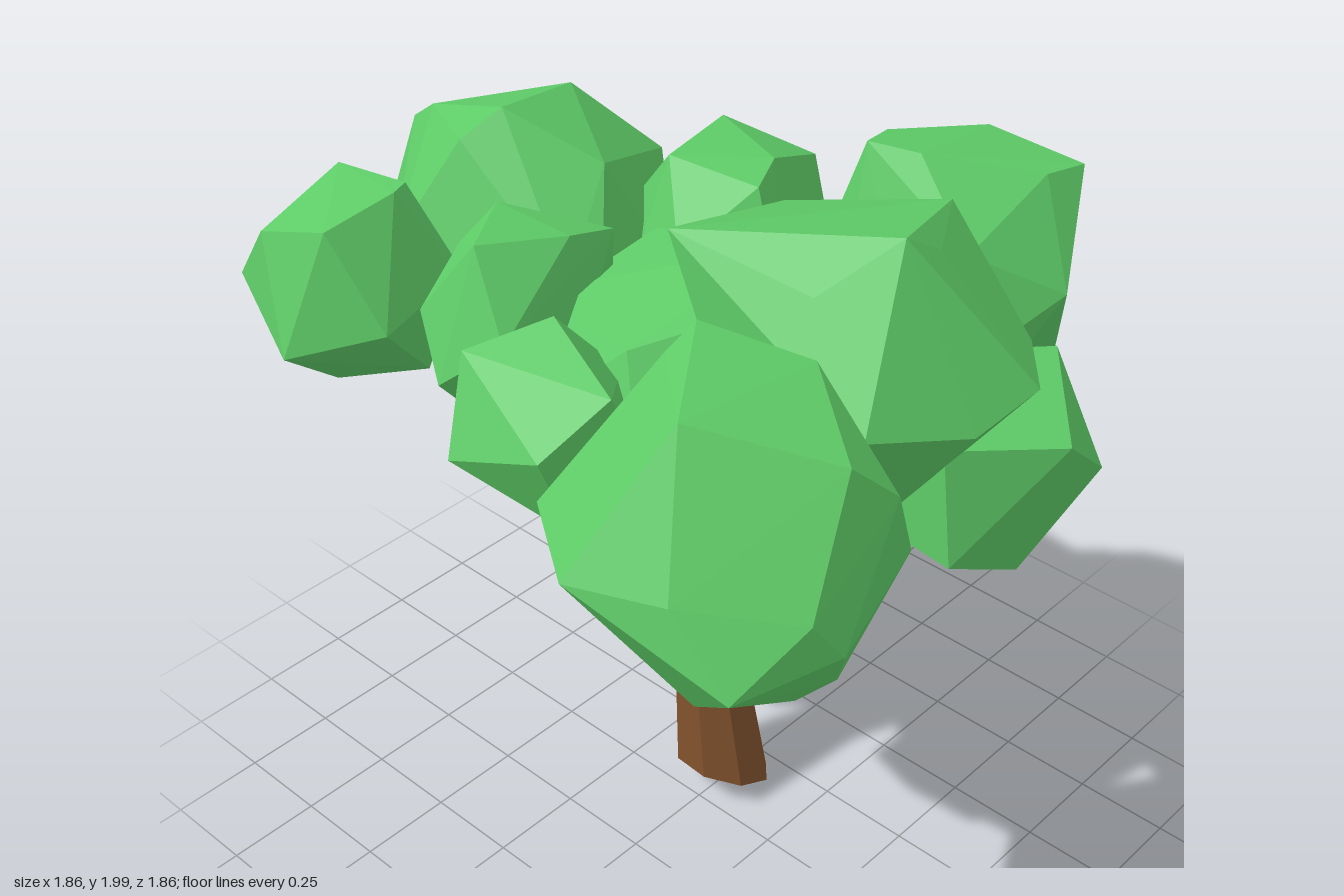
import * as THREE from 'three';
import { ConvexGeometry } from 'three/addons/geometries/ConvexGeometry.js';

const V = (x, y, z) => new THREE.Vector3(x, y, z);

// Tapered limb swept along points [x, y, z, radius], closed at both ends
function limbGeometry(path, sides, startNormal) {
  const pts = path.map((p) => V(p[0], p[1], p[2]));
  const last = pts.length - 1;
  const pos = [], idx = [];
  let u = V(0.3, 0.1, 1);
  pts.forEach((p, i) => {
    let t = pts[Math.min(i + 1, last)].clone().sub(pts[Math.max(i - 1, 0)]).normalize();
    if (i === 0 && startNormal) t = startNormal.clone().normalize();
    u = u.clone().addScaledVector(t, -u.dot(t)).normalize();
    const v = t.clone().cross(u);
    for (let j = 0; j < sides; j++) {
      const a = (j / sides) * Math.PI * 2, r = path[i][3];
      const q = p.clone().addScaledVector(u, r * Math.cos(a)).addScaledVector(v, r * Math.sin(a));
      pos.push(q.x, q.y, q.z);
    }
  });
  const start = pos.length / 3;
  for (const p of [pts[0], pts[last]]) pos.push(p.x, p.y, p.z);
  for (let j = 0; j < sides; j++) {
    const k = (j + 1) % sides;
    for (let i = 0; i < last; i++) {
      const a = i * sides + j, b = i * sides + k;
      idx.push(a, b, a + sides, b, b + sides, a + sides);
    }
    idx.push(start, k, j, start + 1, last * sides + j, last * sides + k);
  }
  const g = new THREE.BufferGeometry();
  g.setAttribute('position', new THREE.Float32BufferAttribute(pos, 3));
  g.setIndex(idx);
  g.computeVertexNormals();
  return g;
}

// Faceted leaf clump: hull of evenly spread points filling a box, plus a few jutting corners
function clumpGeometry({ min, max, count, corners = [] }, seed) {
  const spin = new THREE.Euler(seed * 1.3, seed * 2.1, seed * 0.7);
  const pts = [];
  for (let i = 0; i < count; i++) {
    const y = 1 - (2 * i + 1) / count, r = Math.sqrt(1 - y * y), a = i * 2.39996;
    pts.push(V(r * Math.cos(a), y, r * Math.sin(a)).applyEuler(spin));
  }
  const box = new THREE.Box3().setFromPoints(pts), size = box.getSize(V(0, 0, 0));
  const lo = V(...min), span = V(...max).sub(lo);
  pts.forEach((p) => p.sub(box.min).divide(size).multiply(span).add(lo));
  return new ConvexGeometry(pts.concat(corners.map((c) => V(...c))));
}

export function createModel() {
  const tree = new THREE.Group();
  tree.name = 'tree';
  const bark = new THREE.MeshStandardMaterial({ color: 0x7f502c, flatShading: true });
  const leaf = new THREE.MeshStandardMaterial({ color: 0x5ecb67, flatShading: true });
  const add = (name, geometry, material) => {
    const mesh = new THREE.Mesh(geometry, material);
    mesh.name = name;
    tree.add(mesh);
  };

  // Leaning trunk with a slanted foot
  add('trunk', limbGeometry([
    [-0.01, 0.057, -0.106, 0.136], [-0.08, 0.5, -0.113, 0.09],
    [-0.105, 0.8, -0.04, 0.078], [-0.125, 0.9, -0.03, 0.1], [-0.11, 0.99, -0.02, 0.06],
  ], 8, V(0, 0.92, -0.38)), bark);

  // Three main branches, each with a side fork
  const branches = {
    leftBackBranch: [[-0.11, 0.9, -0.04, 0.068], [0.03, 0.92, -0.14, 0.056], [0.16, 0.95, -0.22, 0.052],
      [0.27, 1.06, -0.29, 0.05], [0.52, 1.19, -0.28, 0.032], [0.58, 1.25, -0.27, 0.028]],
    leftBackFork: [[0.25, 1.04, -0.28, 0.046], [0.29, 1.12, -0.38, 0.038], [0.35, 1.22, -0.58, 0.028]],
    leftFrontBranch: [[-0.11, 0.92, -0.03, 0.068], [-0.03, 0.97, 0.12, 0.054], [0.07, 1.01, 0.26, 0.05],
      [0.18, 1.13, 0.36, 0.05], [0.37, 1.26, 0.46, 0.03]],
    leftFrontFork: [[0.17, 1.1, 0.35, 0.046], [0.14, 1.2, 0.39, 0.038], [0.06, 1.32, 0.44, 0.03]],
    rightBranch: [[-0.11, 0.91, -0.03, 0.072], [-0.23, 0.98, 0.03, 0.058], [-0.4, 1.1, 0.12, 0.048],
      [-0.5, 1.23, 0.22, 0.042], [-0.5, 1.47, 0.38, 0.028]],
    rightFork: [[-0.46, 1.17, 0.18, 0.045], [-0.53, 1.25, 0.12, 0.036], [-0.58, 1.31, 0.05, 0.028]],
  };
  for (const [name, path] of Object.entries(branches)) add(name, limbGeometry(path, 6), bark);

  // Leaf clumps
  const clumps = {
    backClump: { min: [-0.08, 1.15, -0.91], max: [0.59, 1.85, -0.32], count: 18,
      corners: [[0.11, 1.6, -0.93], [0.31, 1.45, -0.93], [0.12, 1.86, -0.44], [0.54, 1.5, -0.44],
        [0.18, 1.4, -0.28], [0.47, 1.78, -0.82]] },
    crownClump: { min: [0.15, 1.38, -0.33], max: [0.83, 1.93, 0.3], count: 14,
      corners: [[0.17, 1.94, 0.28], [0.12, 1.82, -0.15], [0.62, 2, 0.07], [0.52, 1.7, -0.36],
        [0.5, 1.92, -0.25], [0.86, 1.67, -0.1], [0.72, 1.67, 0.3]] },
    leftClump: { min: [0.4, 1.11, -0.47], max: [0.9, 1.62, 0.05], count: 12 },
    frontLeftClump: { min: [0.23, 1.16, 0.2], max: [0.9, 1.85, 0.84], count: 16,
      corners: [[0.5, 1.57, 0.93], [0.84, 1.4, 0.83], [0.77, 1.19, 0.55], [0.93, 1.43, 0.6], [0.55, 1.12, 0.55],
        [0.88, 1.67, 0.39], [0.39, 1.88, 0.43], [0.26, 1.55, 0.76], [0.22, 1.35, 0.48]] },
    frontClump: { min: [-0.25, 1.24, 0.3], max: [0.22, 1.71, 0.7], count: 12 },
    innerFrontClump: { min: [-0.42, 1.3, 0.14], max: [-0.08, 1.8, 0.55], count: 12,
      corners: [[-0.16, 1.75, 0.11], [-0.33, 1.83, 0.3], [-0.41, 1.6, 0.48]] },
    frontRightClump: { min: [-0.86, 1.34, 0.25], max: [-0.4, 1.85, 0.7], count: 12,
      corners: [[-0.5, 1.85, 0.45], [-0.6, 1.5, 0.73], [-0.87, 1.58, 0.63], [-0.88, 1.63, 0.37]] },
    rightClump: { min: [-0.91, 1.15, -0.31], max: [-0.22, 1.9, 0.35], count: 18,
      corners: [[-0.5, 1.94, 0.12], [-0.72, 1.72, -0.33], [-0.4, 1.72, -0.3], [-0.93, 1.75, 0.03],
        [-0.75, 1.21, 0.15], [-0.19, 1.6, 0.12], [-0.45, 1.4, 0.36]] },
    backRightClump: { min: [-0.4, 1.25, -0.58], max: [0.08, 1.82, 0], count: 16,
      corners: [[0.12, 1.55, -0.15], [0, 1.79, -0.2]] },
    middleClump: { min: [-0.3, 1.05, -0.1], max: [0.38, 1.7, 0.42], count: 16,
      corners: [[-0.18, 1.68, -0.05], [0.18, 1.76, -0.08], [-0.19, 1.6, 0.27], [0.24, 1.42, 0.45],
        [0, 1, 0.15], [-0.2, 1.05, 0.14], [0.1, 1.02, 0.2], [-0.33, 1.33, 0.15]] },
  };
  Object.entries(clumps).forEach(([name, spec], i) => add(name, clumpGeometry(spec, i + 1), leaf));

  return tree;
}
